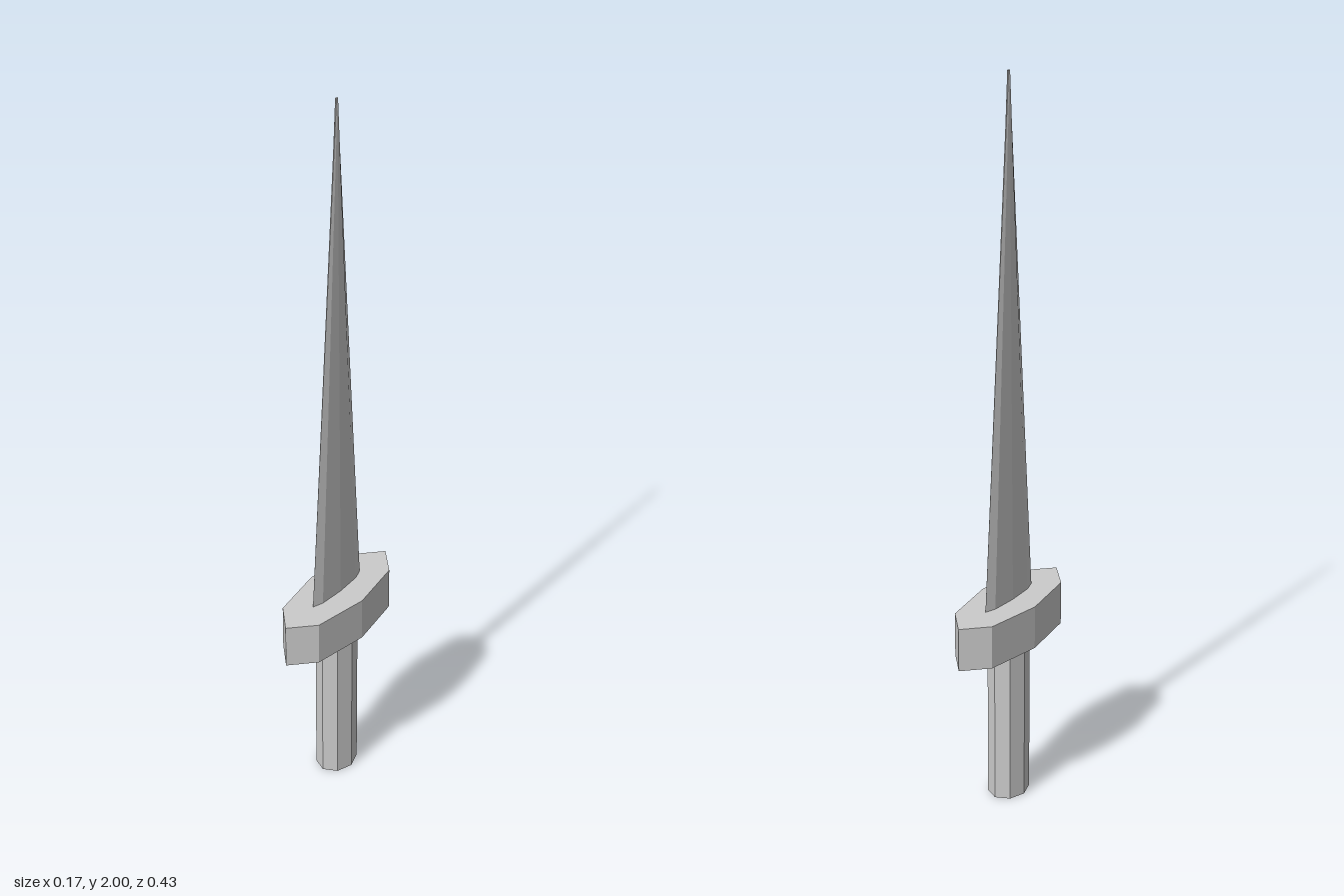
import * as THREE from 'three';

// Eight-sided oval prism between two heights; radii are [x, z] at the bottom and top
function ovalPrism(name, y0, y1, bottom, top = bottom) {
  const geometry = new THREE.CylinderGeometry(1, 1, y1 - y0, 8);
  const p = geometry.attributes.position;
  for (let i = 0; i < p.count; i++) {
    const [rx, rz] = p.getY(i) > 0 ? top : bottom;
    p.setX(i, p.getX(i) * rx);
    p.setZ(i, p.getZ(i) * rz);
  }
  geometry.translate(0, (y0 + y1) / 2, 0);
  geometry.computeVertexNormals();
  const material = new THREE.MeshStandardMaterial({ color: 0xcccccc, flatShading: true });
  const mesh = new THREE.Mesh(geometry, material);
  mesh.name = name;
  return mesh;
}

export function createModel() {
  const dagger = new THREE.Group();
  dagger.name = 'dagger';
  dagger.add(
    ovalPrism('handle', 0, 0.46, [0.052, 0.062]),
    ovalPrism('guard', 0.46, 0.582, [0.085, 0.216]),
    // Thin blade tapering to a tiny blunt tip
    ovalPrism('blade', 0.582, 2, [0.014, 0.101], [0.003, 0.004]),
  );
  return dagger;
}
